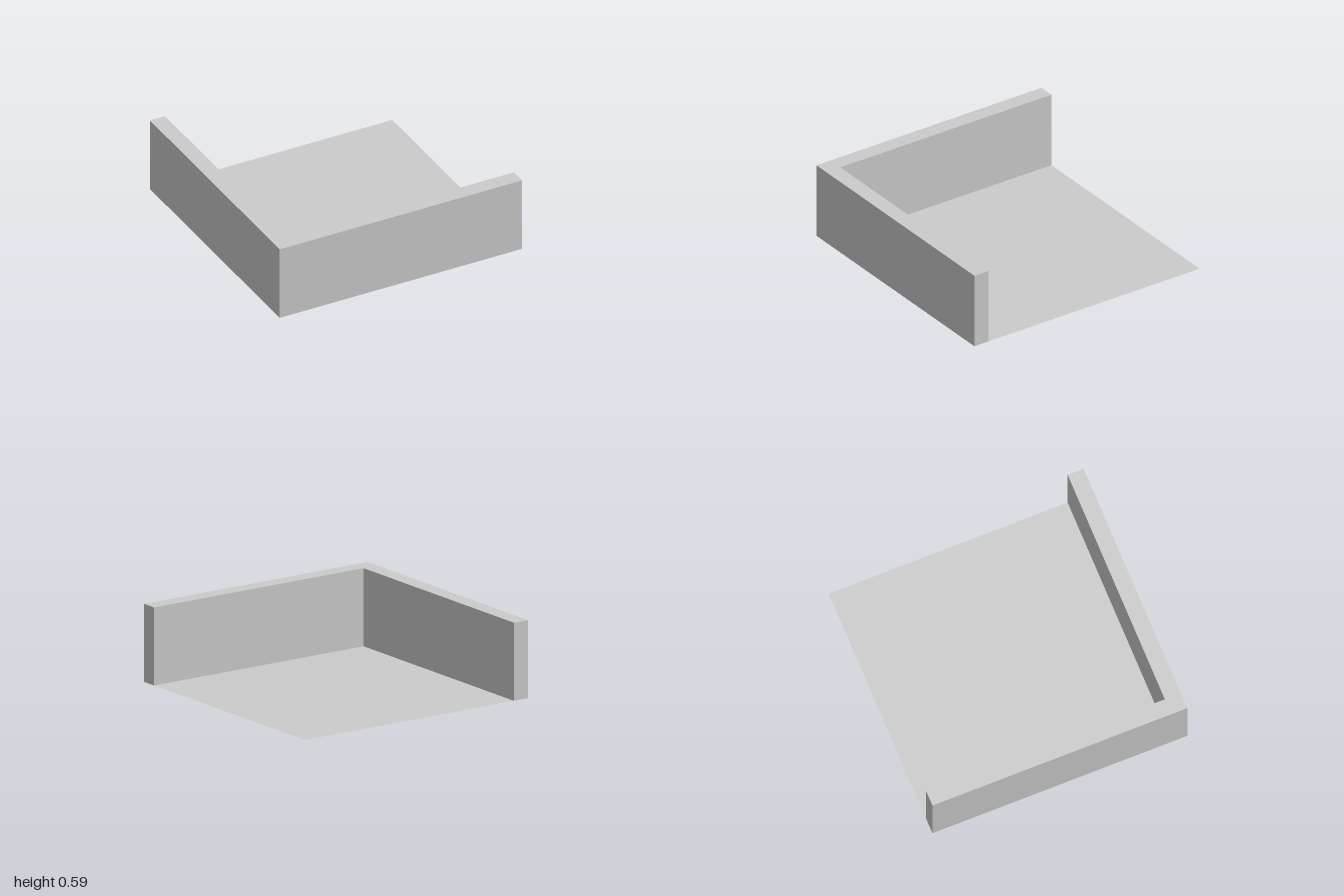
import * as THREE from 'three';

export function createModel() {
  const H = 0.588, I = 0.875; // wall height, inner wall line
  const material = new THREE.MeshStandardMaterial({ color: 0xcccccc, flatShading: true, side: THREE.DoubleSide });
  const model = new THREE.Group();
  const add = (parent, name, geometry) => {
    const mesh = new THREE.Mesh(geometry, material);
    mesh.name = name;
    parent.add(mesh);
    return mesh;
  };

  // Thin floor inside the walls
  const floor = new THREE.PlaneGeometry(1 + I, 1 + I).rotateX(-Math.PI / 2);
  floor.translate((1 - I) / 2, 0, (I - 1) / 2);
  add(model, 'floor', floor);

  // L-shaped hollow wall, open underneath; outline as (x, -z), counter-clockwise from above
  const outline = [[-1, -1], [1, -1], [1, -I], [-I, -I], [-I, 1], [-1, 1]].map(p => new THREE.Vector2(...p));
  const wall = new THREE.Group();
  wall.name = 'cornerWall';
  model.add(wall);

  const top = new THREE.ShapeGeometry(new THREE.Shape(outline)).rotateX(-Math.PI / 2);
  add(wall, 'wallTop', top.translate(0, H, 0));

  // One upright panel per outline edge
  const names = ['frontOuterWall', 'frontWallEnd', 'frontInnerWall', 'sideInnerWall', 'sideWallEnd', 'sideOuterWall'];
  outline.forEach((a, i) => {
    const b = outline[(i + 1) % outline.length];
    const panel = add(wall, names[i], new THREE.PlaneGeometry(a.distanceTo(b), H));
    panel.rotation.y = Math.atan2(b.y - a.y, b.x - a.x);
    panel.position.set((a.x + b.x) / 2, H / 2, -(a.y + b.y) / 2);
  });

  return model;
}
